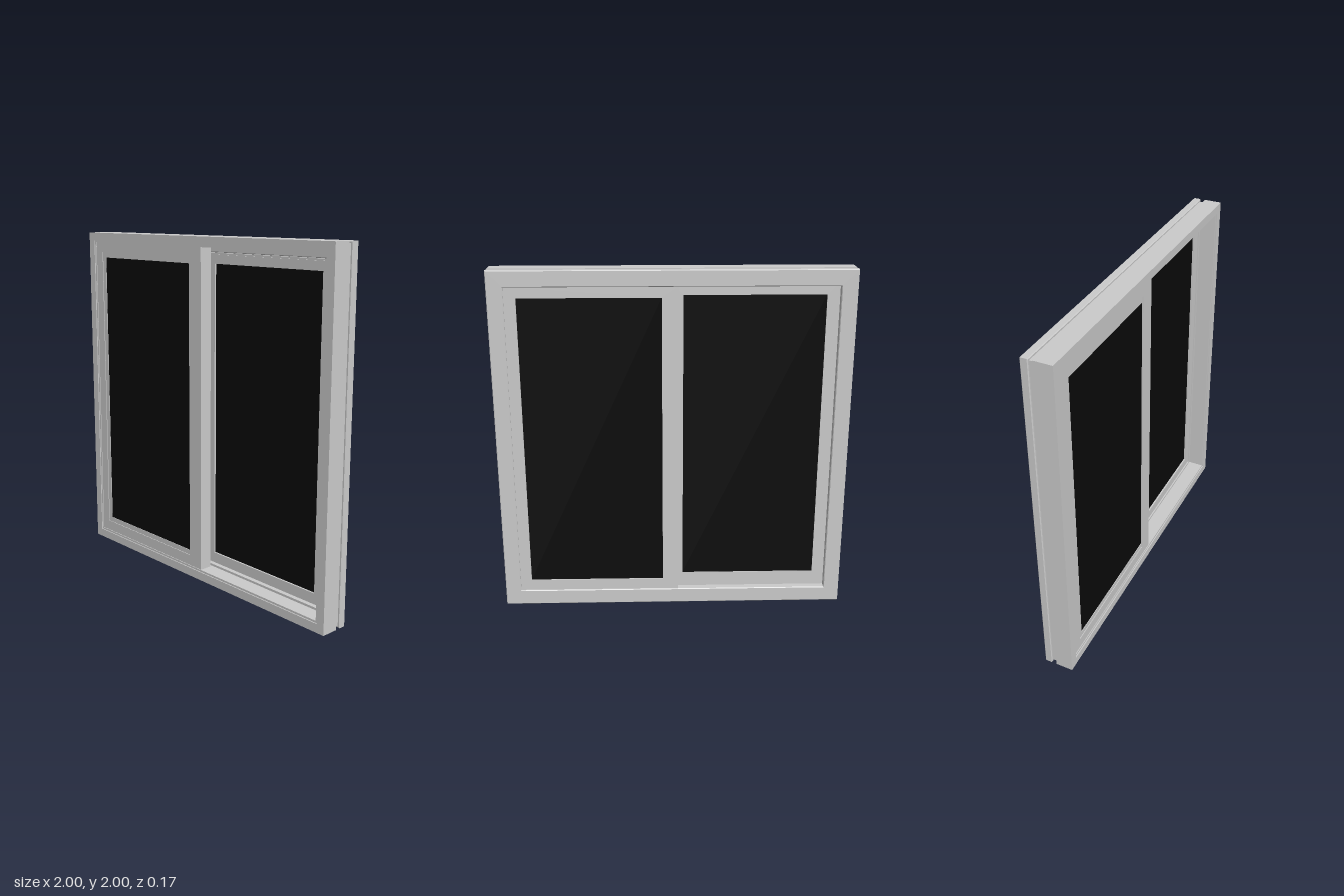
import * as THREE from 'three';

const grey = new THREE.MeshStandardMaterial({ color: 0xcccccc });
const dark = new THREE.MeshStandardMaterial({ color: 0x0a0a0a });

function trace(path, [x0, x1, y0, y1]) {
  path.moveTo(x0, y0);
  path.lineTo(x1, y0);
  path.lineTo(x1, y1);
  path.lineTo(x0, y1);
  path.closePath();
  return path;
}

// Rectangular frame between an outer and an inner rectangle [x0, x1, y0, y1]
function ring(name, outer, inner, z0, z1, bevel = 0) {
  const shape = trace(new THREE.Shape(), outer);
  shape.holes.push(trace(new THREE.Path(), inner));
  const geo = new THREE.ExtrudeGeometry(shape, {
    depth: z1 - z0 - 2 * bevel,
    bevelEnabled: bevel > 0,
    bevelThickness: bevel,
    bevelSize: bevel,
    bevelOffset: -bevel,
    bevelSegments: 1,
  });
  geo.translate(0, 0, z0 + bevel);
  const mesh = new THREE.Mesh(geo, grey);
  mesh.name = name;
  return mesh;
}

function box(name, [x0, x1, y0, y1], z0, z1, material = grey) {
  const mesh = new THREE.Mesh(new THREE.BoxGeometry(x1 - x0, y1 - y0, z1 - z0), material);
  mesh.position.set((x0 + x1) / 2, (y0 + y1) / 2, (z0 + z1) / 2);
  mesh.name = name;
  return mesh;
}

export function createModel() {
  const model = new THREE.Group();
  model.name = 'slidingWindow';

  // Fixed frame: deep front part, recessed neck, back flange
  const frame = new THREE.Group();
  frame.name = 'frame';
  frame.add(
    ring('frontFrame', [-1, 1, 0, 2], [-0.95, 0.95, 0.05, 1.95], -0.015, 0.085),
    ring('frontLip', [-0.95, 0.95, 0.05, 1.95], [-0.94, 0.94, 0.062, 1.942], -0.015, 0.079),
    ring('frameNeck', [-0.988, 0.988, 0.012, 1.988], [-0.925, 0.925, 0.075, 1.925], -0.042, -0.015),
    ring('backFlange', [-1, 1, 0, 2], [-0.91, 0.91, 0.09, 1.91], -0.085, -0.042, 0.004),
  );

  // Front sash on the right half, nearly flush with the front
  const frontSash = new THREE.Group();
  frontSash.name = 'frontSash';
  const frontGlass = [-0.85, -0.06, 0.155, 1.85];
  frontSash.add(
    ring('sashFrame', [-0.94, 0.04, 0.062, 1.942], frontGlass, 0, 0.071),
    box('sideStile', [-0.94, -0.88, 0.062, 1.942], 0.071, 0.075),
    box('topRail', [-0.88, -0.03, 1.882, 1.942], 0.071, 0.075),
    box('bottomRail', [-0.88, -0.03, 0.062, 0.125], 0.071, 0.075),
    box('meetingStile', [-0.06, 0.04, 0.062, 1.942], 0.071, 0.075),
    box('glass', frontGlass, 0.004, 0.068, dark),
  );

  // Back sash on the left half, set into the back flange
  const backSash = new THREE.Group();
  backSash.name = 'backSash';
  const backGlass = [0.06, 0.845, 0.155, 1.85];
  backSash.add(
    ring('sashFrame', [-0.03, 0.91, 0.09, 1.91], backGlass, -0.075, -0.018),
    ring('sashBead', [0.05, 0.9, 0.1, 1.9], backGlass, -0.018, -0.012),
    box('glass', backGlass, -0.068, -0.022, dark),
  );

  model.add(frame, frontSash, backSash);
  return model;
}
